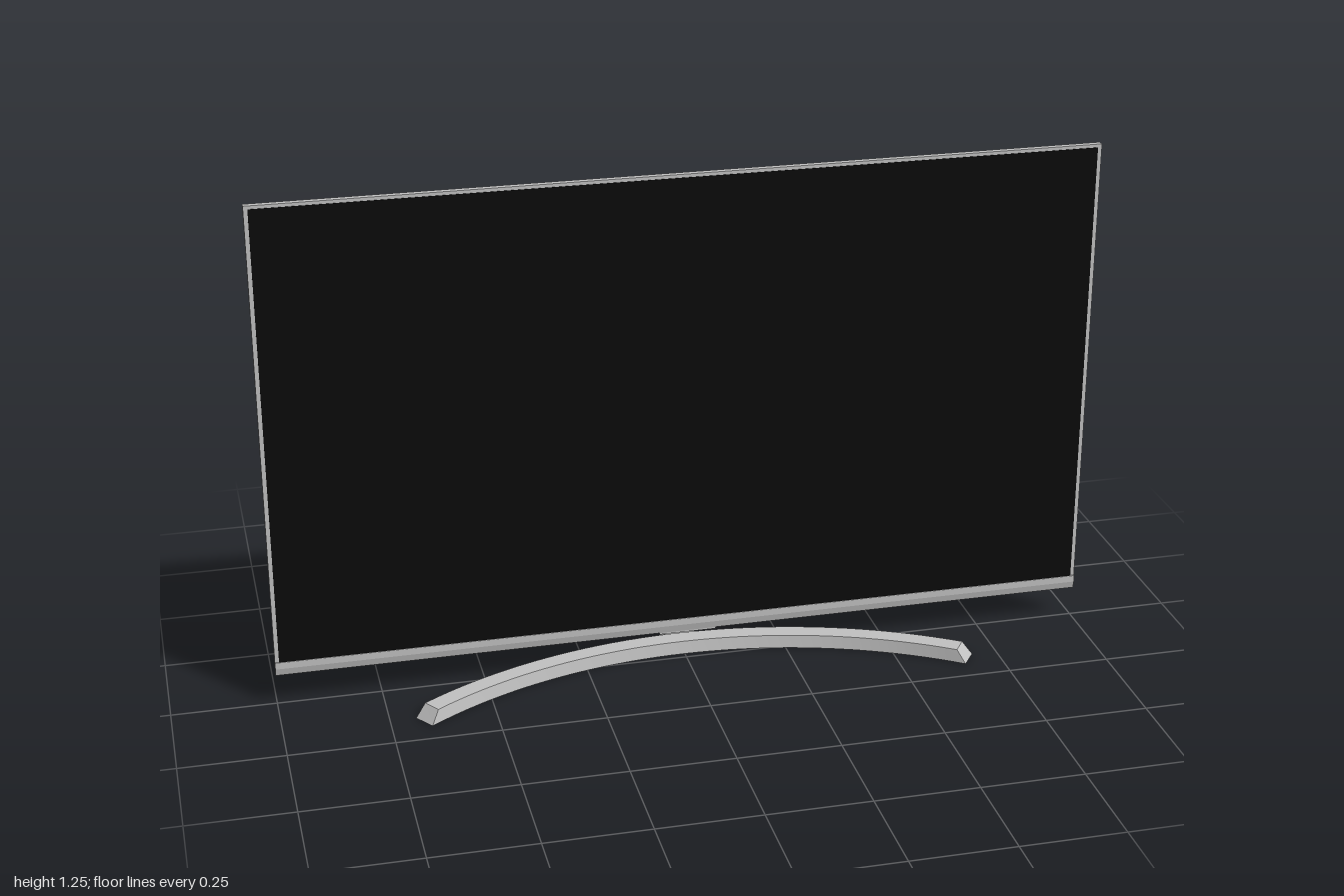
import * as THREE from 'three';
import { toCreasedNormals } from 'three/addons/utils/BufferGeometryUtils.js';

const material = (name, color, side = THREE.FrontSide) => {
  const m = new THREE.MeshStandardMaterial({ color, side });
  m.name = name;
  return m;
};

// Recesses in the back shell: x range, y range, remaining depth of the floor
const RECESSES = [
  { x: [-0.9, -0.69], y: [0.36, 0.85], floor: 0.008 },
  { x: [-0.655, -0.34], y: [0.36, 0.54], floor: 0.012 },
  { x: [-0.68, 0.68], y: [1.045, 1.063], floor: 0.018 },
];
const GROOVE = { x: 0.575, half: 0.025, y: [0.43, 0.8], depth: 0.02 };
const BOTTOM = 0.085, TOP = 1.238, WALL = 0.004;

const clamp01 = (v) => Math.min(1, Math.max(0, v));

// Thickness of the back shell at a point, before and after cutting the recesses
function shellBase(x, y) {
  const t = clamp01((Math.abs(x) - 0.53) / 0.465);
  const top = clamp01((y - 0.92) / (TOP - 0.92));
  const main = 0.042 * (1 - t ** 4) * (1 - top ** 2);
  const bulge = 0.064 * (1 - t * t) * clamp01((0.345 - y) / 0.045 + 0.6);
  return y < 0.345 ? Math.max(main, bulge) : main;
}
function shellDepth(x, y) {
  if (y <= BOTTOM + 1e-6) return 0;
  let d = shellBase(x, y);
  const e = 1e-5;
  for (const r of RECESSES) {
    if (x >= r.x[0] - e && x <= r.x[1] + e && y >= r.y[0] - e && y <= r.y[1] + e) d = Math.min(d, r.floor);
  }
  const g = GROOVE;
  if (y >= g.y[0] - e && y <= g.y[1]) {
    const ramp = (g.y[1] - y) / (g.y[1] - g.y[0]);
    d -= g.depth * ramp * Math.max(0, 1 - Math.abs(x - g.x) / g.half);
  }
  return d;
}

// Sorted grid lines: an even spacing plus a close pair at every recess edge
function gridLines(from, to, count, extra) {
  const lines = new Set(extra.map((v) => +v.toFixed(4)));
  for (let i = 0; i <= count; i++) lines.add(+(from + ((to - from) * i) / count).toFixed(4));
  return [...lines].sort((a, b) => a - b);
}

function meshGeometry(positions, index, crease) {
  const g = new THREE.BufferGeometry();
  g.setAttribute('position', new THREE.Float32BufferAttribute(positions, 3));
  g.setIndex(index);
  return toCreasedNormals(g, crease);
}

function shellGeometry() {
  const edges = (axis) => RECESSES.flatMap((r) => [r[axis][0] - WALL, r[axis][0], r[axis][1], r[axis][1] + WALL]);
  const xs = gridLines(-0.995, 0.995, 56, [...edges('x'), 0.55, 0.575, 0.6]);
  const ys = gridLines(BOTTOM, TOP, 44, [...edges('y'), BOTTOM + 0.003, 0.3, 0.318, 0.327, 0.336, 0.345, 0.426, 0.43, 0.8]);
  const pos = [], index = [], n = xs.length;
  for (const y of ys) for (const x of xs) pos.push(x, y, -0.003 - shellDepth(x, y));
  for (let j = 0; j < ys.length - 1; j++) {
    for (let i = 0; i < n - 1; i++) {
      const a = j * n + i, b = a + 1, c = a + n, d = c + 1;
      index.push(a, c, b, b, c, d);
    }
  }
  return meshGeometry(pos, index, 0.6);
}

// Curved foot: a trapezoid section swept along an arc, with sloping ends
function footGeometry() {
  const R = 1.158, zc = R - 0.045, end = 0.6195, steps = 40;
  const section = [[-0.028, 0, 1], [-0.023, 0.032, 0.965], [0.023, 0.032, 0.965], [0.028, 0, 1]];
  const pos = [], index = [];
  for (let i = 0; i <= steps; i++) {
    for (const [r, y, reach] of section) {
      const a = end * reach * ((2 * i) / steps - 1);
      pos.push((R + r) * Math.sin(a), y, zc - (R + r) * Math.cos(a));
    }
  }
  for (let i = 0; i < steps; i++) {
    for (let k = 0; k < 4; k++) {
      const a = i * 4 + k, b = i * 4 + ((k + 1) % 4), c = a + 4, d = b + 4;
      index.push(a, c, b, b, c, d);
    }
  }
  const e = steps * 4;
  index.push(0, 1, 2, 0, 2, 3, e, e + 2, e + 1, e, e + 3, e + 2);
  return meshGeometry(pos, index, 0.5);
}

// Extrude a (z, y) side profile across the width
function profileGeometry(points, width) {
  const shape = new THREE.Shape(points.map(([z, y]) => new THREE.Vector2(z, y)));
  const g = new THREE.ExtrudeGeometry(shape, { depth: width, bevelEnabled: false });
  return g.translate(0, 0, -width / 2).rotateY(-Math.PI / 2);
}

export function createModel() {
  const silver = material('silver', 0xc2c2c2);
  const shellGrey = material('shell grey', 0xbababa, THREE.DoubleSide);
  const black = material('screen black', 0x0a0a0a);
  const dark = material('socket dark', 0x2c2c2c);

  const model = new THREE.Group();
  model.name = 'television';
  const add = (name, geometry, mat, x = 0, y = 0, z = 0, parent = model) => {
    const mesh = new THREE.Mesh(geometry, mat);
    mesh.name = name;
    mesh.position.set(x, y, z);
    parent.add(mesh);
    return mesh;
  };
  const box = (w, h, d) => new THREE.BoxGeometry(w, h, d);

  // Panel: frame, screen and lower trim
  add('frame', box(2, 1.145, 0.015), silver, 0, 1.245 - 1.145 / 2, 0.0045);
  add('screen', box(1.98, 1.122, 0.002), black, 0, 0.676, 0.0125);
  add('lowerTrim', profileGeometry(
    [[-0.003, 0.08], [0.011, 0.08], [0.015, 0.098], [0.015, 0.115], [-0.003, 0.115]], 2), silver);
  add('sensorBar', box(0.14, 0.006, 0.012), silver, 0, 0.079, 0.005);

  // Back shell with its cable bays, slot and groove
  add('backShell', shellGeometry(), shellGrey);

  // Power socket at the end of the groove
  const socket = new THREE.Group();
  socket.name = 'powerSocket';
  socket.position.set(GROOVE.x, 0.41, -0.045);
  model.add(socket);
  add('socketRim', box(0.052, 0.042, 0.006), dark, 0, 0, 0, socket);
  add('socketFace', box(0.04, 0.03, 0.004), shellGrey, 0, 0, -0.002, socket);
  add('socketHole', box(0.018, 0.016, 0.004), dark, 0, 0, -0.0035, socket);

  // Stand: neck, cable outlet and curved foot
  add('neck', profileGeometry([
    [-0.062, 0.28], [-0.08, 0.28], [-0.197, 0], [-0.05, 0], [-0.05, 0.03],
    [-0.082, 0.03], [-0.092, 0.034], [-0.094, 0.042], [-0.07, 0.088], [-0.062, 0.088],
  ], 0.076), silver);
  const outlet = add('cableOutlet', box(0.022, 0.04, 0.006), dark, 0, 0.036, -0.181);
  outlet.rotation.x = 0.39;
  add('foot', footGeometry(), silver);

  return model;
}
